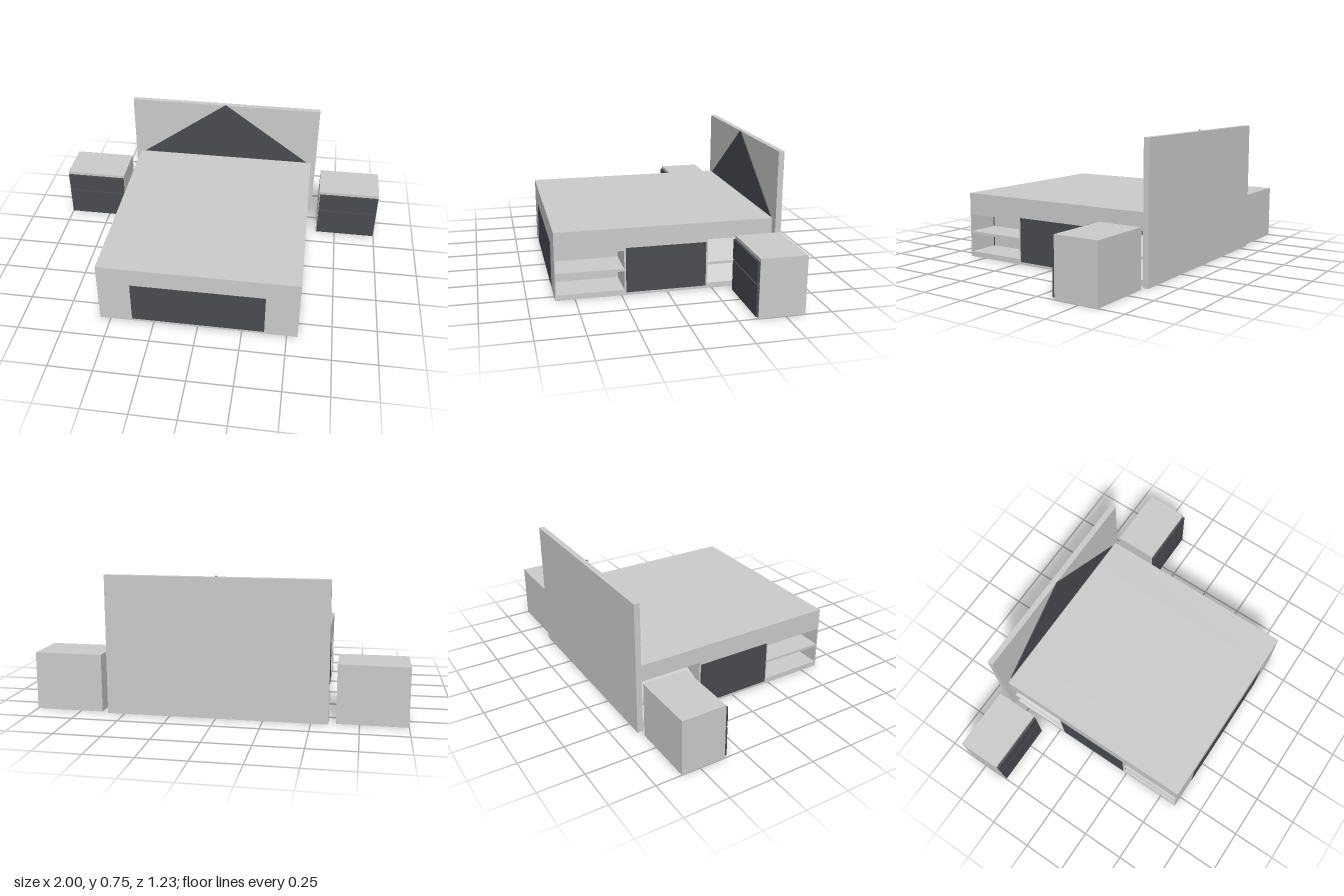
import * as THREE from 'three';

const grey = new THREE.MeshStandardMaterial({ color: 0xcccccc });
const dark = new THREE.MeshStandardMaterial({ color: 0x4a4b50 });

export function createModel() {
  const model = new THREE.Group();
  model.name = 'bedroomSet';

  const add = (name, geometry, material = grey) => {
    const mesh = new THREE.Mesh(geometry, material);
    mesh.name = name;
    model.add(mesh);
    return mesh;
  };
  // Box given by its two extreme corners
  const box = (name, [x0, y0, z0], [x1, y1, z1], material) => {
    const mesh = add(name, new THREE.BoxGeometry(Math.abs(x1 - x0), y1 - y0, z1 - z0), material);
    mesh.position.set((x0 + x1) / 2, (y0 + y1) / 2, (z0 + z1) / 2);
    return mesh;
  };
  const polygon = (points) => new THREE.Shape(points.map(([x, y]) => new THREE.Vector2(x, y)));
  const rectangle = (u0, v0, u1, v1) => polygon([[u0, v0], [u1, v0], [u1, v1], [u0, v1]]);
  const extrude = (shape, depth) => new THREE.ExtrudeGeometry(shape, { depth, bevelEnabled: false });

  // Bed body: solid core between two side blocks with shelf openings
  const W = 0.56, H = 0.375, inner = 0.37, back = -0.585, front = 0.605;
  box('bedCore', [-inner, 0, back], [inner, H, front]);

  const side = rectangle(-front, 0, -back, H);
  side.holes.push(
    rectangle(-0.597, 0.03, -0.235, 0.135),
    rectangle(-0.597, 0.15, -0.235, 0.25),
    rectangle(0.225, 0.03, 0.575, 0.135),
    rectangle(0.225, 0.15, 0.575, 0.28),
  );
  const sideGeometry = extrude(side, W - inner).rotateY(Math.PI / 2);

  // Sloping linings of the rear shelf compartments, as x-y sections
  const linings = [
    [[W, 0.03], [inner, 0.135], [inner, 0.03]],
    [[W, 0.15], [inner, 0.215], [inner, 0.15]],
    [[W, 0.28], [inner, 0.28], [inner, 0.215]],
  ];

  for (const s of [1, -1]) {
    const tag = s > 0 ? 'left' : 'right';
    add(tag + 'ShelfBlock', sideGeometry).position.x = s > 0 ? inner : -W;
    for (const section of linings) {
      const shape = polygon(section.map(([x, y]) => [s * x, y]));
      add(tag + 'ShelfLining', extrude(shape, 0.35)).position.z = -0.575;
    }
    // Dark panel in the middle of the bed side
    box(tag + 'SidePanel', [s * (W - 0.01), 0.015, -0.215], [s * (W + 0.002), 0.265, 0.225], dark);

    // Bedside cabinet with two drawer fronts
    box(tag + 'Nightstand', [s * 0.63, 0, -0.605], [s, 0.315, -0.355]);
    box(tag + 'LowerDrawer', [s * 0.634, 0.01, -0.355], [s * 0.996, 0.178, -0.342], dark);
    box(tag + 'UpperDrawer', [s * 0.634, 0.186, -0.355], [s * 0.996, 0.298, -0.342], dark);
  }

  // Foot panel
  box('footPanel', [-0.375, 0.015, front - 0.01], [0.375, 0.265, front + 0.002], dark);

  // Headboard with its triangular inlay
  box('headboard', [-0.592, 0, -0.625], [0.592, 0.75, -0.593]);
  const triangle = polygon([[-0.53, H], [0.53, H], [0, 0.755]]);
  add('headboardTriangle', extrude(triangle, 0.005), dark).position.z = -0.593;

  return model;
}
